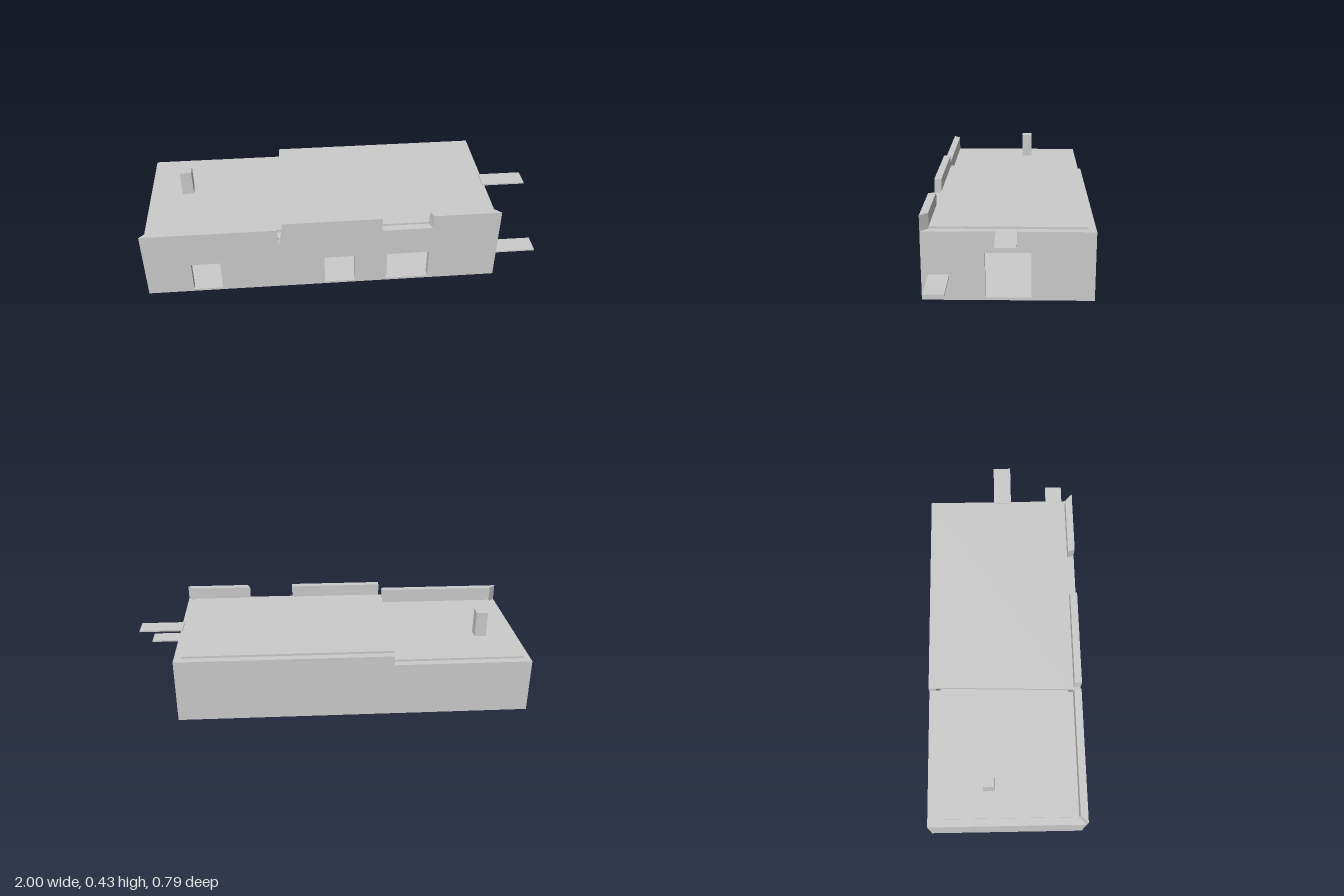
import * as THREE from 'three';

const W = 1, E = 0.785, Z = 0.393, T = 0.037; // west/east ends, half depth, wall thickness
const LOW = 0.28, HIGH = 0.33;                // wall tops of the two sections
const ZI = Z - T;

const mat = new THREE.MeshStandardMaterial({ color: 0xcccccc, flatShading: true, side: THREE.DoubleSide });
const toShape = (pts) => new THREE.Shape(pts.map(([x, y]) => new THREE.Vector2(x, y)));
const extrude = (shape, depth) => new THREE.ExtrudeGeometry(shape, { depth, bevelEnabled: false });

export function createModel() {
  const model = new THREE.Group();
  const add = (name, geo) => {
    const m = new THREE.Mesh(geo, mat);
    m.name = name;
    model.add(m);
  };
  const box = (name, x0, x1, y0, y1, z0, z1) => add(name,
    new THREE.BoxGeometry(x1 - x0, y1 - y0, z1 - z0).translate((x0 + x1) / 2, (y0 + y1) / 2, (z0 + z1) / 2));
  // wall drawn face-on, with rectangular openings [u0, u1, y0, y1]
  const wall = (pts, holes = []) => {
    const s = toShape(pts);
    for (const [a, b, c, d] of holes) s.holes.push(toShape([[a, c], [a, d], [b, d], [b, c]]));
    return extrude(s, T);
  };
  // slab from a plan outline in [x, z], between two heights
  const slab = (name, plan, y0, y1) => add(name,
    extrude(toShape(plan.map(([x, z]) => [x, -z])), y1 - y0).rotateX(-Math.PI / 2).translate(0, y0, 0));

  box('floor', -W, E, 0, 0.012, -Z, Z);

  // front wall with windows and the notch between the sections
  add('frontWall', wall(
    [[-W, 0], [E, 0], [E, HIGH], [-0.308, HIGH], [-0.316, 0.298], [-0.326, LOW], [-0.33, LOW], [-W, LOW]],
    [[-0.77, -0.625, 0.012, 0.175], [-0.1, 0.055, 0.012, 0.175], [0.22, 0.435, 0.012, 0.175]]
  ).translate(0, 0, ZI));

  // stepped back wall
  add('backWall', wall([[-W, 0], [E, 0], [E, HIGH], [-0.305, HIGH], [-0.305, LOW], [-W, LOW]]).translate(0, 0, -Z));

  // end walls, the right one with a doorway
  box('leftWall', -W, -W + T, 0, LOW, -ZI, ZI);
  add('doorWall', wall([[-ZI, 0], [ZI, 0], [ZI, HIGH], [-ZI, HIGH]], [[-0.105, 0.105, 0.014, 0.23]])
    .rotateY(Math.PI / 2).translate(E - T, 0, 0));

  // roof panels
  slab('lowerRoof', [[-W + T, ZI], [-0.325, ZI], [-0.305, -ZI], [-W + T, -ZI]], 0.272, 0.291);
  slab('upperRoof', [[-0.325, ZI], [E - T, ZI], [E - T, -ZI], [-0.305, -ZI]], 0.323, 0.341);

  // front parapets with mitred outer ends
  slab('leftParapet', [[-W, Z], [-0.33, Z], [-0.33, ZI], [-W + T, ZI]], LOW, 0.367);
  slab('middleParapet', [[-0.308, Z], [0.19, Z], [0.19, ZI], [-0.308, ZI]], HIGH, 0.404);
  slab('rightParapet', [[0.445, Z], [E, Z], [E - T, ZI], [0.43, ZI]], HIGH, 0.404);

  box('chimney', -0.83, -0.77, LOW, 0.425, -0.115, -0.057);

  // planks reaching out from the door end
  box('upperPlank', E - 0.01, 1, 0.328, 0.336, -0.04, 0.055);
  box('lowerPlank', E - 0.01, 1, 0.116, 0.124, 0.266, 0.361);
  return model;
}
